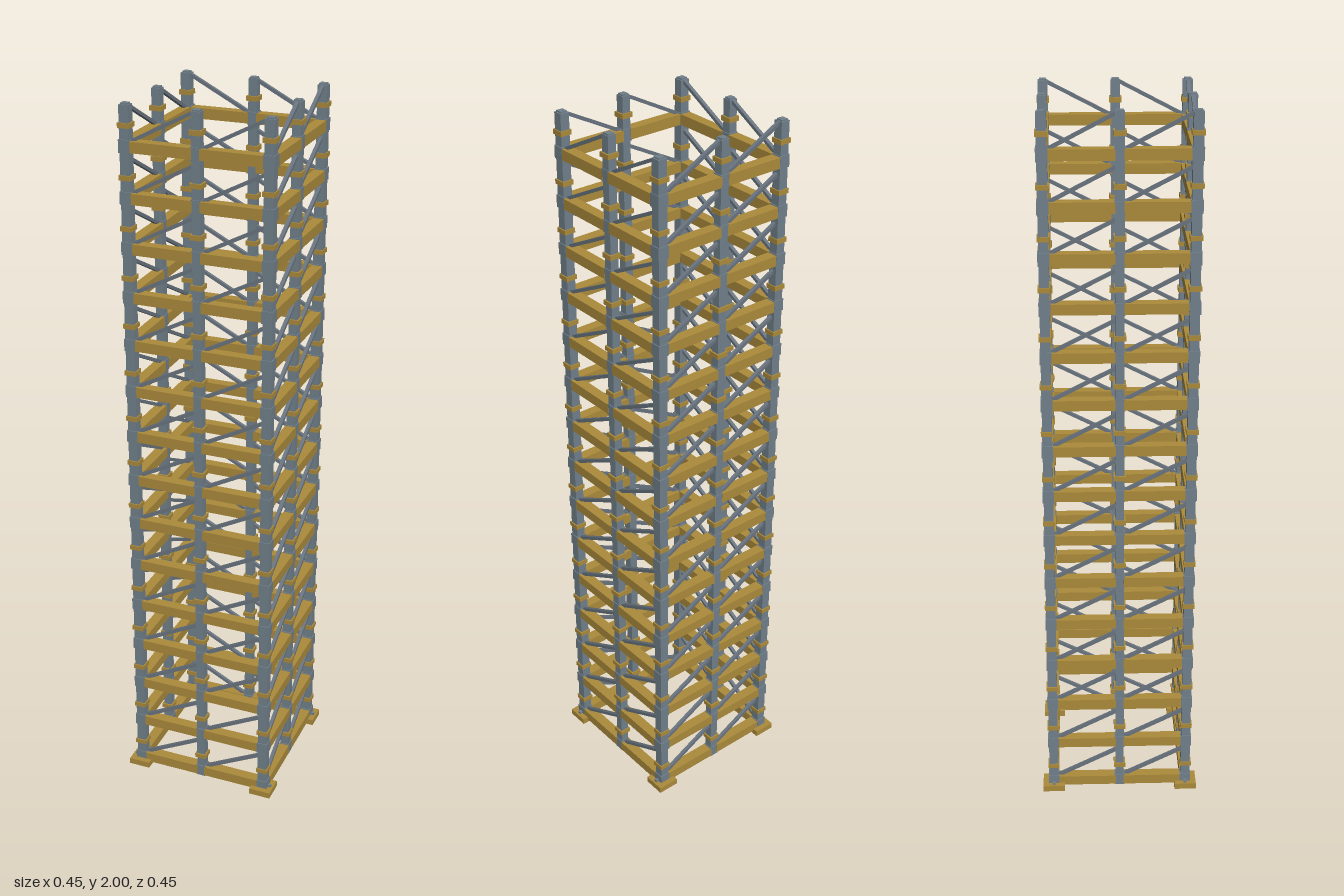
import * as THREE from 'three';

const LEVELS = 15, STEP = 2 / LEVELS, R = 0.193, BASE = 0.025;

export function createModel() {
  const tower = new THREE.Group();
  tower.name = 'latticeTower';
  const mat = (name, color) => {
    const m = new THREE.MeshStandardMaterial({ color });
    m.name = name;
    return m;
  };
  const ochre = mat('ochre', 0xab8a3b);
  const steel = mat('steel', 0x71808b);
  const braceSteel = mat('braceSteel', 0x69747f);

  const box = (parent, name, material, size, pos) => {
    const mesh = new THREE.Mesh(new THREE.BoxGeometry(...size), material);
    mesh.name = name;
    mesh.position.set(...pos);
    parent.add(mesh);
    return mesh;
  };

  // One side is built facing +z, then turned round the square plan.
  for (let side = 0; side < 4; side++) {
    const face = new THREE.Group();
    face.name = 'towerSide' + (side + 1);
    face.rotation.y = side * Math.PI / 2;
    tower.add(face);

    // Corner post and middle post
    for (const x of [-R, 0]) {
      const name = x ? 'cornerPost' : 'middlePost';
      const w = x ? 0.026 : 0.024;
      box(face, name, steel, [w, 1.99, w], [x, 1.001, R]);
      // Stepped post head
      box(face, name + 'Head', steel, [0.019, 0.004, 0.019], [x, 1.998, R]);
      for (let i = 0; i < LEVELS; i++) {
        const y = BASE + i * STEP;
        // Joint sleeve at the beam, clamp collar above it
        box(face, 'jointSleeve', steel, [w + 0.005, 0.034, w + 0.005], [x, y, R]);
        box(face, 'clampCollar', ochre, [0.033, 0.013, 0.033], [x, y + 0.053, R]);
      }
    }

    for (let i = 0; i < LEVELS; i++) {
      const y = BASE + i * STEP;
      for (const x of [-R, 0]) {
        // Horizontal beam between neighbouring posts
        box(face, 'beam', ochre, [R - 0.022, 0.029, 0.03], [x + R / 2, y, R]);
        // Diagonal brace rising towards +x
        const rise = 0.1;
        const brace = box(face, 'diagonalBrace', braceSteel,
          [Math.hypot(R, rise), 0.009, 0.01], [x + R / 2, y + 0.005 + rise / 2, R]);
        brace.rotation.z = Math.atan2(rise, R);
      }
    }

    // Foot pad under the corner post
    box(face, 'footPad', ochre, [0.063, 0.018, 0.063], [-R, 0.009, R]);
  }

  // Anchor bolts on the outer edge of each pad
  for (const sx of [-1, 1]) for (const sz of [-1, 1]) {
    box(tower, 'anchorBolt', steel, [0.01, 0.008, 0.008], [sx * 0.213, 0.021, sz * R]);
  }
  return tower;
}
